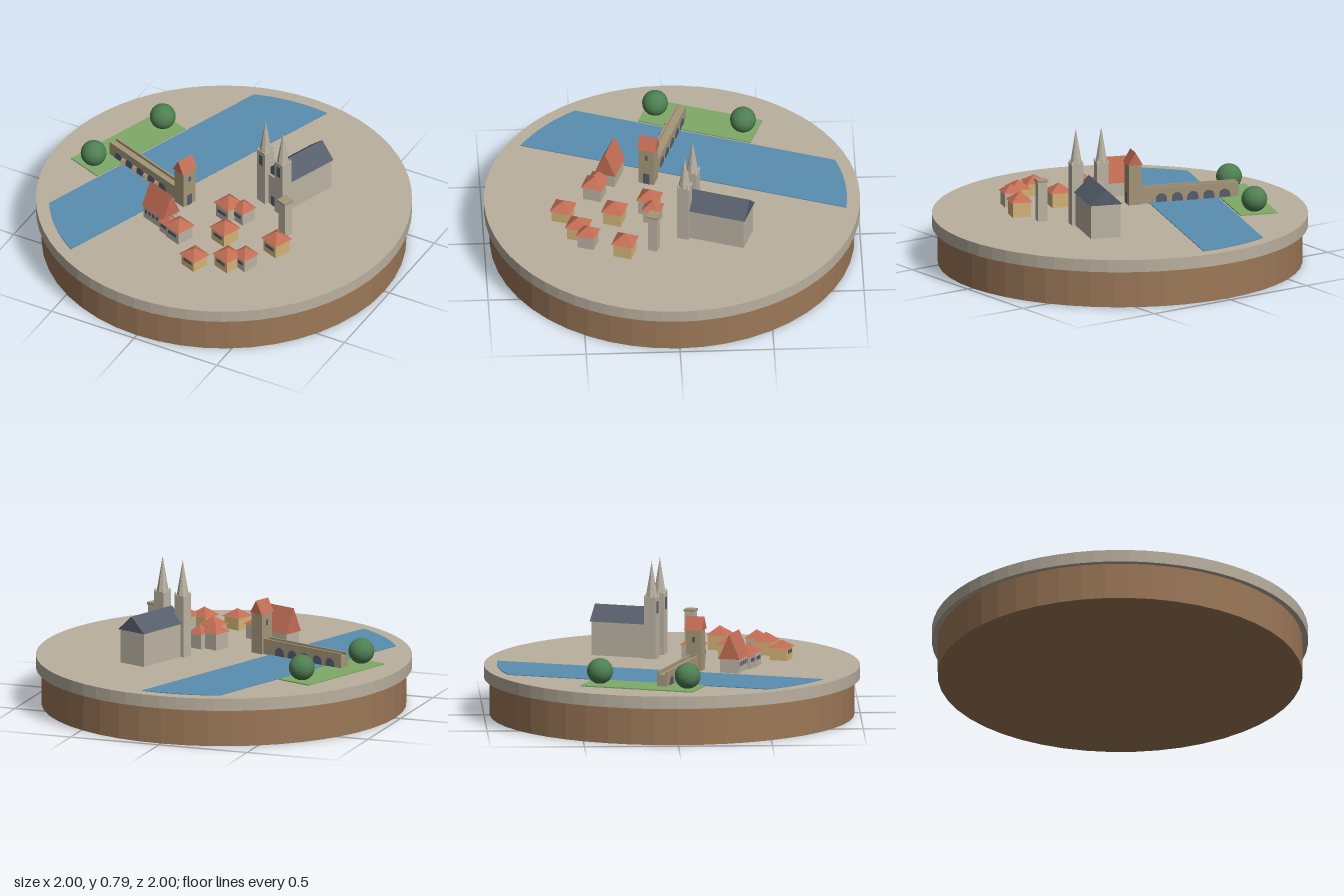
import * as THREE from 'three';

const mat = (name, color, flat = true) => {
  const m = new THREE.MeshStandardMaterial({ color, flatShading: flat });
  m.name = name;
  return m;
};

export function createModel() {
  const wood = mat('brown wood', 0x9c7858);
  const ground = mat('ground', 0xbab09f);
  const water = mat('water', 0x5a8eb0);
  const grass = mat('grass', 0x80aa68);
  const leaf = mat('foliage', 0x4f7f52, false);
  const tile = mat('roof tile', 0xc26d54);
  const ochre = mat('ochre plaster', 0xd4b478);
  const stone = mat('pale stone', 0xbbb3a3);
  const slate = mat('slate', 0x565e6b);
  const sand = mat('sandstone', 0xa59678);

  const G = 0.267; // ground level
  const root = new THREE.Group();
  root.name = 'townDiorama';
  // the whole town is laid out on axes turned with the river
  const town = new THREE.Group();
  town.name = 'town';
  town.rotation.y = -20 * Math.PI / 180;
  root.add(town);

  const add = (parent, name, geo, material, x = 0, y = 0, z = 0) => {
    const m = new THREE.Mesh(geo, material);
    m.name = name;
    m.position.set(x, y, z);
    parent.add(m);
    return m;
  };
  // box standing on y
  const box = (parent, name, material, w, h, d, x, y, z) =>
    add(parent, name, new THREE.BoxGeometry(w, h, d), material, x, y + h / 2, z);
  const extrude = (shape, depth) =>
    new THREE.ExtrudeGeometry(shape, { depth, bevelEnabled: false, curveSegments: 16 });
  // solid gable roof, ridge along z
  const gable = (w, h, d) => {
    const s = new THREE.Shape();
    s.moveTo(-w / 2, 0); s.lineTo(w / 2, 0); s.lineTo(0, h); s.closePath();
    return extrude(s, d).translate(0, 0, -d / 2);
  };
  // square pyramid roof standing on y = 0
  const pyramid = (w, h) =>
    new THREE.ConeGeometry(w * Math.SQRT1_2, h, 4).rotateY(Math.PI / 4).translate(0, h / 2, 0);

  // base and plate
  add(root, 'basePlinth', new THREE.CylinderGeometry(0.97, 0.97, 0.2, 48), wood, 0, 0.1, 0);
  add(root, 'groundPlate', new THREE.CylinderGeometry(1, 1, G - 0.2, 64), ground, 0, (G + 0.2) / 2, 0);

  // river: a straight band cut off by a circle
  const R = 0.93, a1 = Math.acos(-0.202 / R), a2 = Math.acos(-0.583 / R);
  const band = new THREE.Shape();
  band.absarc(0, 0, R, a1, a2, false);
  band.absarc(0, 0, R, -a2, -a1, false);
  add(town, 'river', extrude(band, 0.004).rotateX(Math.PI / 2), water, 0, G + 0.004, 0);

  // park and trees
  box(town, 'park', grass, 0.206, 0.006, 0.627, -0.697, G, 0.063);
  for (const z of [-0.177, 0.313])
    add(town, 'tree', new THREE.SphereGeometry(0.069, 24, 16), leaf, -0.692, G + 0.07, z);

  // bridge with parapets, arches and cutwaters
  const bridge = new THREE.Group();
  bridge.name = 'bridge';
  bridge.position.set(0, 0, 0.17);
  town.add(bridge);
  box(bridge, 'bridgeDeck', sand, 0.545, 0.068, 0.057, -0.4225, G, 0);
  for (const s of [-1, 1])
    box(bridge, 'parapet', sand, 0.545, 0.016, 0.01, -0.4225, 0.335, s * 0.0235);
  const arch = new THREE.Shape();
  arch.moveTo(-0.03, 0); arch.lineTo(0.03, 0); arch.lineTo(0.03, 0.02);
  arch.absarc(0, 0.02, 0.03, 0, Math.PI, false);
  arch.closePath();
  for (let i = 0; i < 5; i++) {
    const x = -0.619 + i * 0.0875;
    add(bridge, 'archOpening', extrude(arch, 0.063), slate, x, G, -0.0315);
    if (i < 4) {
      const cut = new THREE.CylinderGeometry(0.018, 0.018, 0.04, 3);
      add(bridge, 'cutwater', cut, sand, x + 0.0437, G + 0.02, 0.036);
    }
  }

  // bridge tower
  const gate = new THREE.Group();
  gate.name = 'bridgeTower';
  gate.position.set(-0.12, 0, 0.17);
  town.add(gate);
  box(gate, 'towerBody', sand, 0.07, 0.22, 0.085, 0, G, 0);
  add(gate, 'towerRoof', gable(0.082, 0.07, 0.1), tile, 0, 0.486, 0);
  for (const s of [-1, 1]) {
    box(gate, 'gateway', slate, 0.004, 0.065, 0.035, s * 0.035, G, 0);
    box(gate, 'towerWindow', slate, 0.004, 0.03, 0.016, s * 0.035, 0.42, 0);
  }

  // hall with a steep roof and a row of windows
  const hall = new THREE.Group();
  hall.name = 'townHall';
  hall.position.set(-0.083, 0, 0.374);
  town.add(hall);
  box(hall, 'hallWalls', stone, 0.158, 0.076, 0.104, 0, G, 0);
  add(hall, 'hallRoof', gable(0.118, 0.134, 0.172).rotateY(Math.PI / 2), tile, 0, 0.342, 0);
  for (let i = 0; i < 5; i++)
    box(hall, 'hallWindow', slate, 0.017, 0.022, 0.004, -0.06 + i * 0.03, 0.303, 0.052);

  // small houses: x, z, roof width, eaves, apex, wall colour
  const houses = [
    [0.132, 0.083, 0.115, 0.36, 0.405, stone], [0.203, 0.043, 0.1, 0.35, 0.39, stone],
    [0.272, 0.234, 0.118, 0.35, 0.392, ochre], [0.529, 0.095, 0.118, 0.352, 0.395, ochre],
    [0.456, 0.377, 0.118, 0.345, 0.387, ochre], [0.516, 0.305, 0.105, 0.348, 0.387, stone],
    [0.331, 0.502, 0.116, 0.338, 0.374, ochre], [0.095, 0.402, 0.118, 0.35, 0.392, stone],
    [0.02, 0.407, 0.088, 0.335, 0.368, stone],
  ];
  for (const [x, z, w, eaves, apex, wall] of houses) {
    const h = new THREE.Group(), b = w * 0.84;
    h.name = 'house';
    h.position.set(x, 0, z);
    town.add(h);
    box(h, 'houseWalls', wall, b, eaves - G, b, 0, G, 0);
    add(h, 'houseRoof', pyramid(w, apex - eaves + 0.004), tile, 0, eaves - 0.004, 0);
    box(h, 'houseWindow', slate, b * 0.66, 0.02, 0.004, 0, G + 0.036, b / 2);
  }

  // church: nave, slate roof and twin spires
  const church = new THREE.Group();
  church.name = 'church';
  church.position.set(0.22, 0, 0);
  town.add(church);
  box(church, 'nave', stone, 0.164, 0.185, 0.325, 0, G, -0.332);
  add(church, 'naveRoof', gable(0.182, 0.082, 0.335), slate, 0, 0.449, -0.335);
  box(church, 'facade', stone, 0.09, 0.19, 0.03, 0, G, -0.17);
  box(church, 'portal', slate, 0.03, 0.06, 0.004, 0, G, -0.155);
  for (const s of [-1, 1]) {
    const t = new THREE.Group();
    t.name = 'churchTower';
    t.position.set(s * 0.07, 0, -0.162);
    church.add(t);
    box(t, 'towerShaft', stone, 0.064, 0.333, 0.064, 0, G, 0);
    add(t, 'spire', new THREE.ConeGeometry(0.032, 0.19, 8), stone, 0, 0.695, 0);
    for (const a of [-1, 1]) for (const c of [-1, 1])
      add(t, 'pinnacle', new THREE.ConeGeometry(0.009, 0.022, 6), stone, a * 0.027, 0.608, c * 0.027);
    box(t, 'belfryWindow', slate, 0.026, 0.065, 0.004, 0, 0.51, 0.032);
  }

  // free-standing watchtower with a flat cap
  const watch = new THREE.Group();
  watch.name = 'watchtower';
  watch.position.set(0.446, 0, -0.04);
  town.add(watch);
  box(watch, 'watchtowerBody', stone, 0.052, 0.214, 0.052, 0, G, 0);
  box(watch, 'watchtowerCap', sand, 0.062, 0.012, 0.062, 0, 0.479, 0);

  return root;
}
